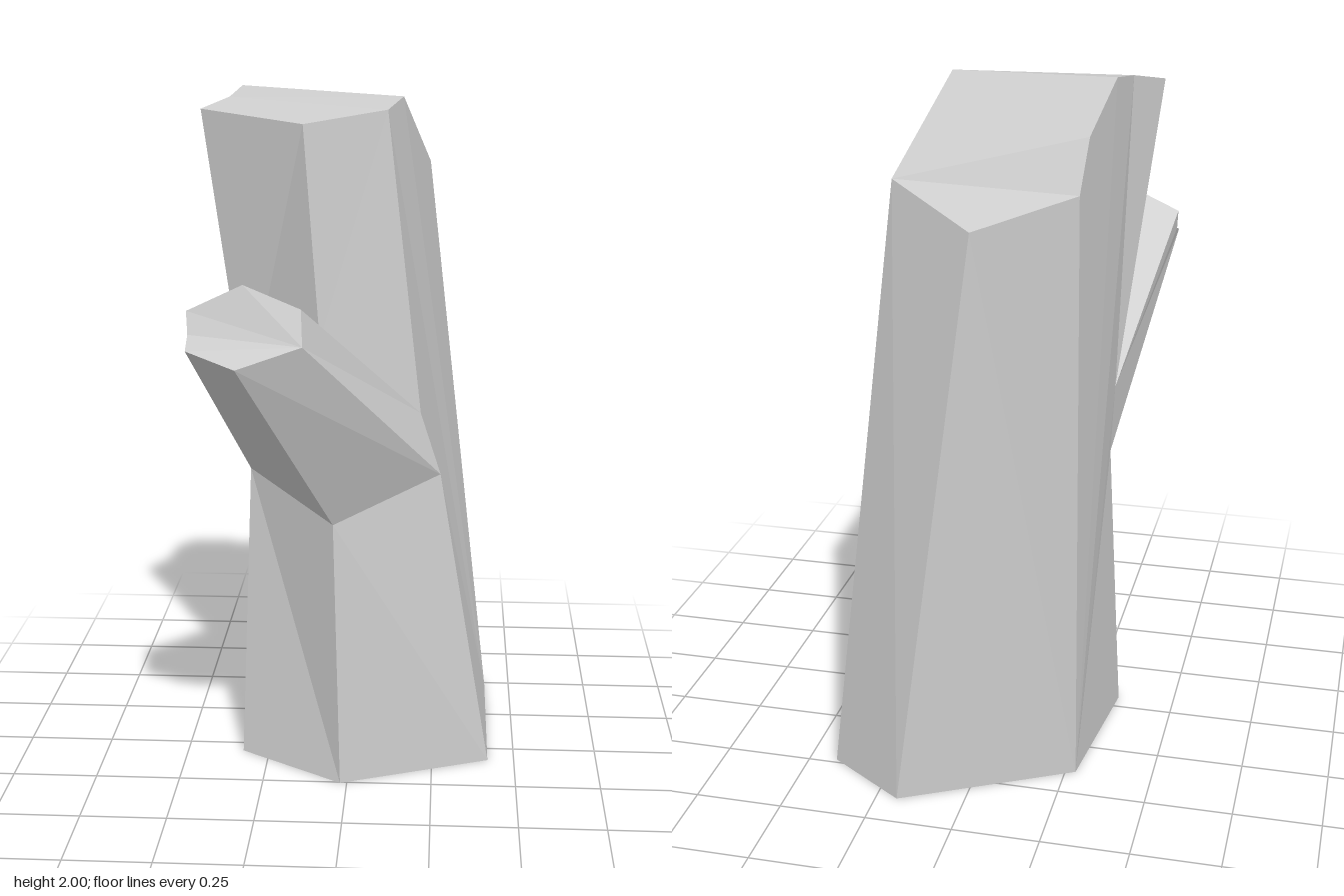
import * as THREE from 'three';

const material = new THREE.MeshStandardMaterial({
  color: 0xcccccc, flatShading: true, side: THREE.DoubleSide,
});

// Flat facets, each a loop of corners fanned from its first one and turned away from a core point
function facetMesh(name, core, facets) {
  const positions = [];
  const centre = new THREE.Vector3(...core);
  for (const facet of facets) {
    const loop = facet.map((p) => new THREE.Vector3(...p));
    const normal = new THREE.Vector3();
    const middle = new THREE.Vector3();
    loop.forEach((p, i) => {
      normal.add(p.clone().cross(loop[(i + 1) % loop.length]));
      middle.addScaledVector(p, 1 / loop.length);
    });
    const inward = normal.dot(middle.sub(centre)) < 0;
    for (let i = 1; i < loop.length - 1; i++) {
      const [b, c] = inward ? [loop[i + 1], loop[i]] : [loop[i], loop[i + 1]];
      for (const p of [loop[0], b, c]) positions.push(p.x, p.y, p.z);
    }
  }
  const geometry = new THREE.BufferGeometry();
  geometry.setAttribute('position', new THREE.Float32BufferAttribute(positions, 3));
  geometry.computeVertexNormals();
  const mesh = new THREE.Mesh(geometry, material);
  mesh.name = name;
  return mesh;
}

// Six-sided foot of the trunk
const foot = [
  [0.42, 0, 0.08], [-0.02, 0, 0.255], [-0.33, 0, 0.055],
  [-0.28, 0, -0.39], [0.19, 0, -0.64], [0.42, 0, -0.485],
];
// Matching corners at the sawn top
const top = [
  [0.105, 1.955, 0.04], [-0.125, 1.925, 0.15], [-0.42, 1.955, 0.04],
  [-0.28, 1.74, -0.45], [-0.02, 1.66, -0.57], [0.22, 1.755, -0.44],
];
// Extra corners along the sloping top: right ridge, then the left rim front to back
const ridge = [0.145, 1.98, -0.095];
const rim = [[-0.35, 1.98, -0.065], [-0.33, 2.0, -0.21], [-0.293, 1.88, -0.39]];

// Loop where the branch leaves the trunk: three upper corners, three lower
const root = [
  [-0.315, 1.08, -0.05], [-0.08, 1.32, 0.165], [0.205, 1.09, 0.065],
  [0.265, 0.91, 0.08], [-0.04, 0.8, 0.235], [-0.305, 0.88, -0.05],
];
// Matching loop at the cut end of the branch, and the corner of its step
const tip = [
  [-0.41, 1.47, 0.475], [-0.26, 1.54, 0.47], [-0.105, 1.48, 0.49],
  [-0.1, 1.385, 0.52], [-0.265, 1.35, 0.64], [-0.4, 1.385, 0.58],
];
const step = [-0.405, 1.41, 0.495];

export function createModel() {
  const model = new THREE.Group();
  model.name = 'treeStump';

  const trunk = [
    foot,
    // right side
    [foot[5], top[5], ridge, top[0], root[2], root[3], foot[0]],
    // left side and its flared front corner
    [foot[3], top[3], rim[2], rim[1], rim[0], root[0], root[5], foot[2]],
    [rim[0], top[2], root[0]],
  ];
  for (let i = 0; i < 2; i++) {
    trunk.push([foot[i], foot[i + 1], root[i + 4], root[i + 3]]); // front below the branch
    trunk.push([top[i], top[i + 1], root[1 - i], root[2 - i]]); // front above the branch
    trunk.push([foot[i + 3], foot[i + 4], top[i + 4], top[i + 3]]); // back
  }
  model.add(facetMesh('trunk', [0, 0.9, -0.2], trunk));

  // Sloping cut top
  model.add(facetMesh('trunkTop', [0, 0.9, -0.2], [
    [top[0], top[1], top[2], rim[0]],
    [ridge, top[0], rim[0], rim[1]],
    [top[5], ridge, rim[1], rim[2], top[3]],
    [top[5], top[3], top[4]],
  ]));

  // Branch sides and its stepped end
  const branch = [
    [root[0], tip[0], step, tip[5], root[5]],
    [tip[3], tip[2], tip[1], tip[0], step],
    [tip[3], tip[4], tip[5], step],
  ];
  for (let i = 0; i < 5; i++) branch.push([root[i], root[i + 1], tip[i + 1], tip[i]]);
  model.add(facetMesh('branch', [-0.15, 1.2, 0.27], branch));

  return model;
}
